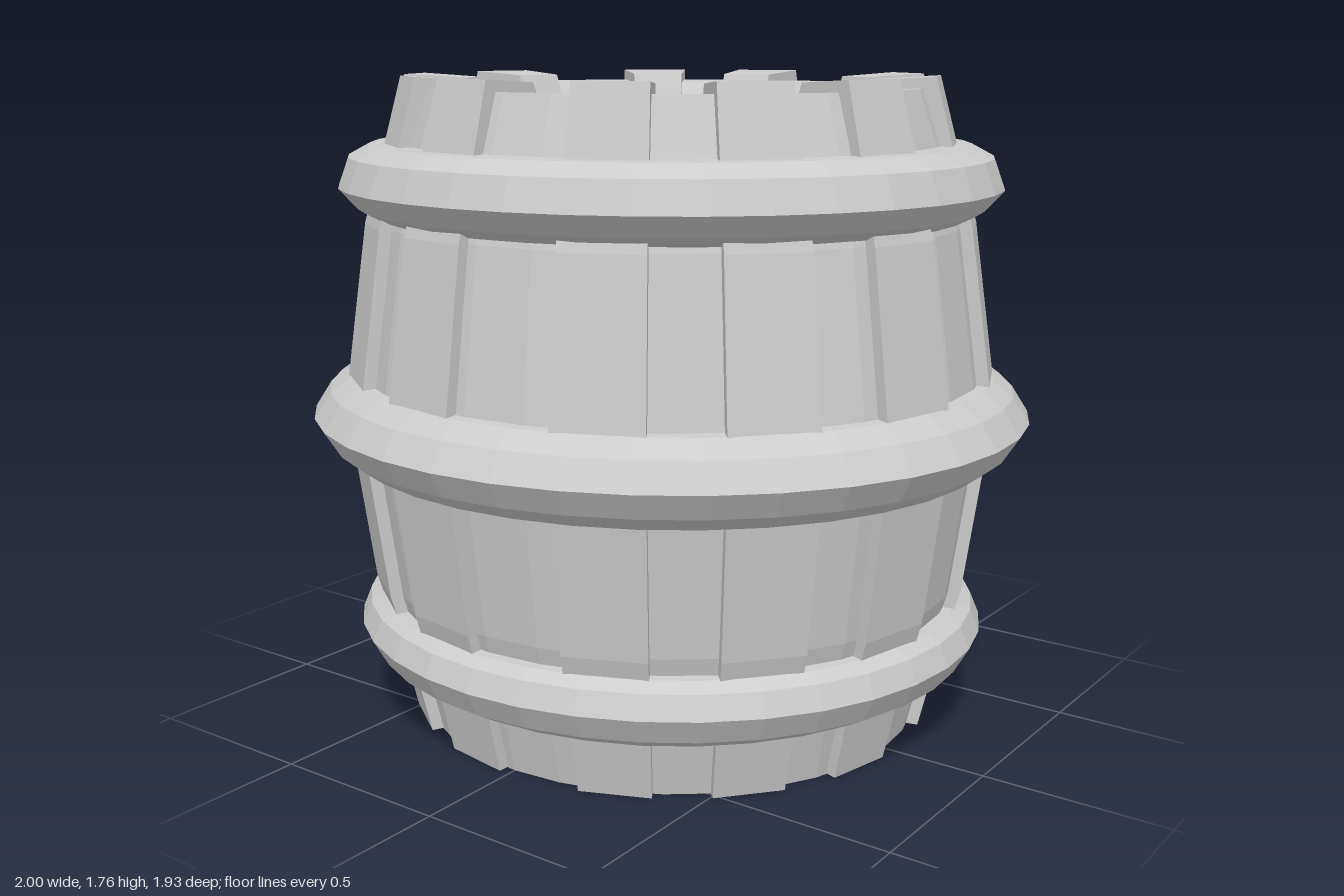
import * as THREE from 'three';

const material = new THREE.MeshStandardMaterial({ color: 0xcccccc, flatShading: true });
const points = (list) => list.map(([r, y]) => new THREE.Vector2(r, y));

function lathe(name, profile, segments) {
  const mesh = new THREE.Mesh(new THREE.LatheGeometry(points(profile), segments), material);
  mesh.name = name;
  return mesh;
}

// Bulging outer line of the raised staves: [radius, height]
const outer = [[0.74, 0], [0.78, 0.17], [0.845, 0.4], [0.893, 0.75], [0.905, 0.86],
  [0.9, 0.97], [0.84, 1.38], [0.78, 1.59]];

// Raised stave: its section swept through one flat 15 degree facet
function staveGeometry() {
  const section = [...outer, [0.732, 1.765], [0.56, 1.755], [0.515, 1.65], [0.6, 0.003]];
  section[0] = [0.74, 0.002];
  const geometry = new THREE.ExtrudeGeometry(new THREE.Shape(points(section)),
    { depth: 1, bevelEnabled: false });
  const width = THREE.MathUtils.degToRad(15);
  const p = geometry.attributes.position;
  for (let i = 0; i < p.count; i++) {
    const r = p.getX(i), angle = width * (0.5 - p.getZ(i));
    p.setXYZ(i, r * Math.sin(angle), p.getY(i), r * Math.cos(angle));
  }
  geometry.computeVertexNormals();
  return geometry;
}

export function createModel() {
  const barrel = new THREE.Group();
  barrel.name = 'barrel';

  // Recessed body with rim and sunken lid
  const wall = outer.map(([r, y]) => [r - 0.03, y]);
  barrel.add(lathe('body', [[0, 0], ...wall, [0.7, 1.735], [0.58, 1.73], [0.535, 1.67], [0, 1.67]], 32));

  // Unevenly spaced raised staves, angles from the front
  const staves = new THREE.Group();
  staves.name = 'raisedStaves';
  const geometry = staveGeometry();
  for (const degrees of [-170, -141.5, -100.5, -64, -35.5, -9.6, 24, 51, 78, 112.5, 144.5]) {
    const stave = new THREE.Mesh(geometry, material);
    stave.name = 'stave';
    stave.rotation.y = THREE.MathUtils.degToRad(degrees);
    staves.add(stave);
  }
  barrel.add(staves);

  // Three faceted hoops
  barrel.add(
    lathe('lowerHoop', [[0.74, 0.165], [0.79, 0.165], [0.85, 0.2], [0.89, 0.27], [0.865, 0.33], [0.83, 0.352], [0.76, 0.355]], 36),
    lathe('middleHoop', [[0.84, 0.745], [0.9, 0.75], [0.955, 0.79], [1, 0.86], [0.955, 0.93], [0.9, 0.97], [0.84, 0.975]], 36),
    lathe('upperHoop', [[0.76, 1.395], [0.81, 1.395], [0.86, 1.42], [0.91, 1.475], [0.88, 1.555], [0.82, 1.587], [0.74, 1.59]], 36),
  );

  // Bung on the side
  const bung = lathe('bung', [[0.095, 0], [0.095, 0.2], [0.086, 0.229], [0.065, 0.245], [0, 0.245]], 20);
  bung.rotation.z = Math.PI / 2;
  bung.position.set(-0.7, 0.535, 0.1);
  barrel.add(bung);

  // The barrel is slightly oval
  barrel.scale.z = 0.963;
  const model = new THREE.Group();
  model.add(barrel);
  return model;
}
